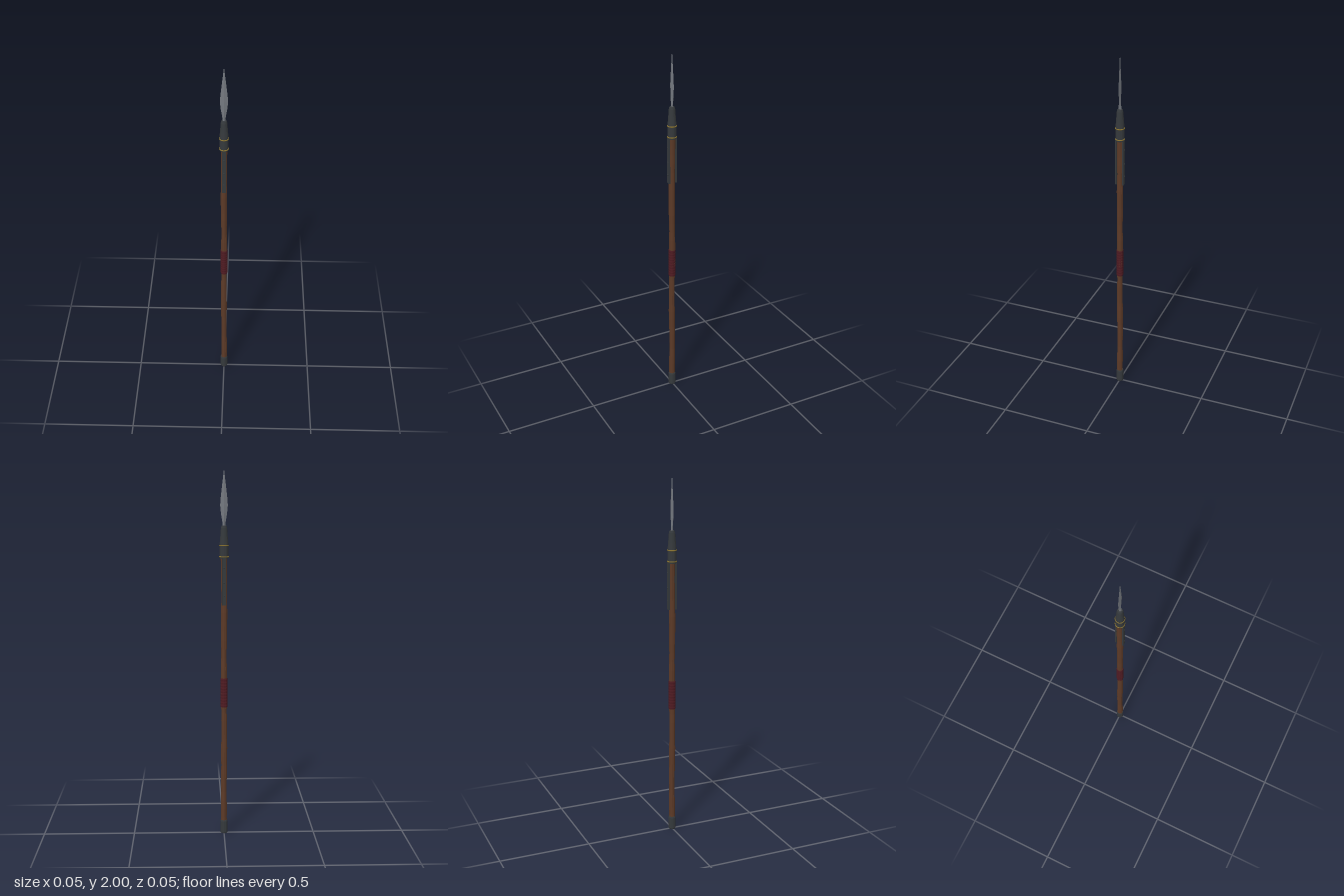
import * as THREE from 'three';

const material = (name, color, flat = false) => {
  const m = new THREE.MeshStandardMaterial({ color, flatShading: flat });
  m.name = name;
  return m;
};

export function createModel() {
  const group = new THREE.Group();
  const wood = material('brown wood', 0x5c3a27, true);
  const iron = material('dark iron', 0x35393c, true);
  const steel = material('blade steel', 0x74787f, true);
  const brass = material('aged brass', 0x86702f);
  const leather = material('dark red leather', 0x4f1b22, true);

  const add = (name, geometry, mat, x = 0, y = 0, z = 0) => {
    const mesh = new THREE.Mesh(geometry, mat);
    mesh.name = name;
    mesh.position.set(x, y, z);
    group.add(mesh);
    return mesh;
  };
  const lathe = (points, sides) =>
    new THREE.LatheGeometry(points.map(([r, y]) => new THREE.Vector2(r, y)), sides);

  // Hand-hewn shaft: each ring is nudged and resized a little
  const shaft = new THREE.CylinderGeometry(0.0165, 0.0165, 1.5, 10, 30);
  const p = shaft.attributes.position;
  for (let i = 0; i < p.count; i++) {
    const y = p.getY(i) + 0.79;
    const swell = 1 + 0.05 * Math.sin(y * 17) + 0.04 * Math.sin(y * 41 + 1);
    p.setXYZ(i, p.getX(i) * swell + 0.001 * Math.sin(y * 9), y,
      p.getZ(i) * swell + 0.001 * Math.cos(y * 11));
  }
  shaft.computeVertexNormals();
  add('shaft', shaft, wood);

  // Iron butt cap
  add('buttCap', lathe([[0, 0], [0.018, 0], [0.0205, 0.006], [0.0205, 0.068],
    [0.0185, 0.075], [0.012, 0.075]], 12), iron);

  // Wrapped grip with shallow turns
  const wrap = [[0.013, 0.72]];
  for (let i = 0; i < 10; i++) {
    wrap.push([0.0185, 0.72 + i * 0.016], [0.0195, 0.728 + i * 0.016]);
  }
  wrap.push([0.0185, 0.88], [0.013, 0.88]);
  add('grip', lathe(wrap, 12), leather);

  // Socket tapering up to the blade
  add('socket', lathe([[0.014, 1.53], [0.0225, 1.53], [0.0235, 1.545], [0.0235, 1.605],
    [0.0205, 1.64], [0.0165, 1.692], [0.0135, 1.703], [0, 1.705]], 16), iron);
  for (const y of [1.54, 1.6]) {
    add('socketRing', new THREE.TorusGeometry(0.0228, 0.0034, 8, 24), brass, 0, y, 0)
      .rotation.x = Math.PI / 2;
  }

  // Riveted straps on the front and back of the shaft
  for (const side of [1, -1]) {
    add('strap', new THREE.BoxGeometry(0.02, 0.255, 0.008), iron, 0, 1.4075, side * 0.0195);
    for (const y of [1.33, 1.4, 1.48]) {
      add('rivet', new THREE.SphereGeometry(0.0038, 8, 6), iron, 0, y, side * 0.0235);
    }
  }

  // Leaf blade: diamond cross-sections as [height, half width, half thickness]
  const sections = [[1.69, 0.006, 0.007], [1.725, 0.009, 0.0068], [1.77, 0.0165, 0.006],
    [1.81, 0.0205, 0.0055], [1.85, 0.0175, 0.0048], [1.92, 0.0095, 0.0035], [2, 0.0003, 0.0003]];
  const vertices = [];
  const indices = [];
  sections.forEach(([y, w, t], i) => {
    vertices.push(w, y, 0, 0, y, t, -w, y, 0, 0, y, -t);
    if (!i) return;
    for (let k = 0; k < 4; k++) {
      const a = (i - 1) * 4 + k;
      const b = (i - 1) * 4 + (k + 1) % 4;
      indices.push(a, b + 4, b, a, a + 4, b + 4);
    }
  });
  // Corners run clockwise from above, so triangles are flipped to face outward
  for (let i = 0; i < indices.length; i += 3) {
    const a = new THREE.Vector3().fromArray(vertices, indices[i] * 3);
    const b = new THREE.Vector3().fromArray(vertices, indices[i + 1] * 3);
    const c = new THREE.Vector3().fromArray(vertices, indices[i + 2] * 3);
    const out = a.clone().add(b).add(c).setY(0);
    if (b.sub(a).cross(c.sub(a)).dot(out) < 0) {
      [indices[i + 1], indices[i + 2]] = [indices[i + 2], indices[i + 1]];
    }
  }
  const blade = new THREE.BufferGeometry();
  blade.setAttribute('position', new THREE.Float32BufferAttribute(vertices, 3));
  blade.setIndex(indices);
  blade.computeVertexNormals();
  add('blade', blade, steel);

  return group;
}
